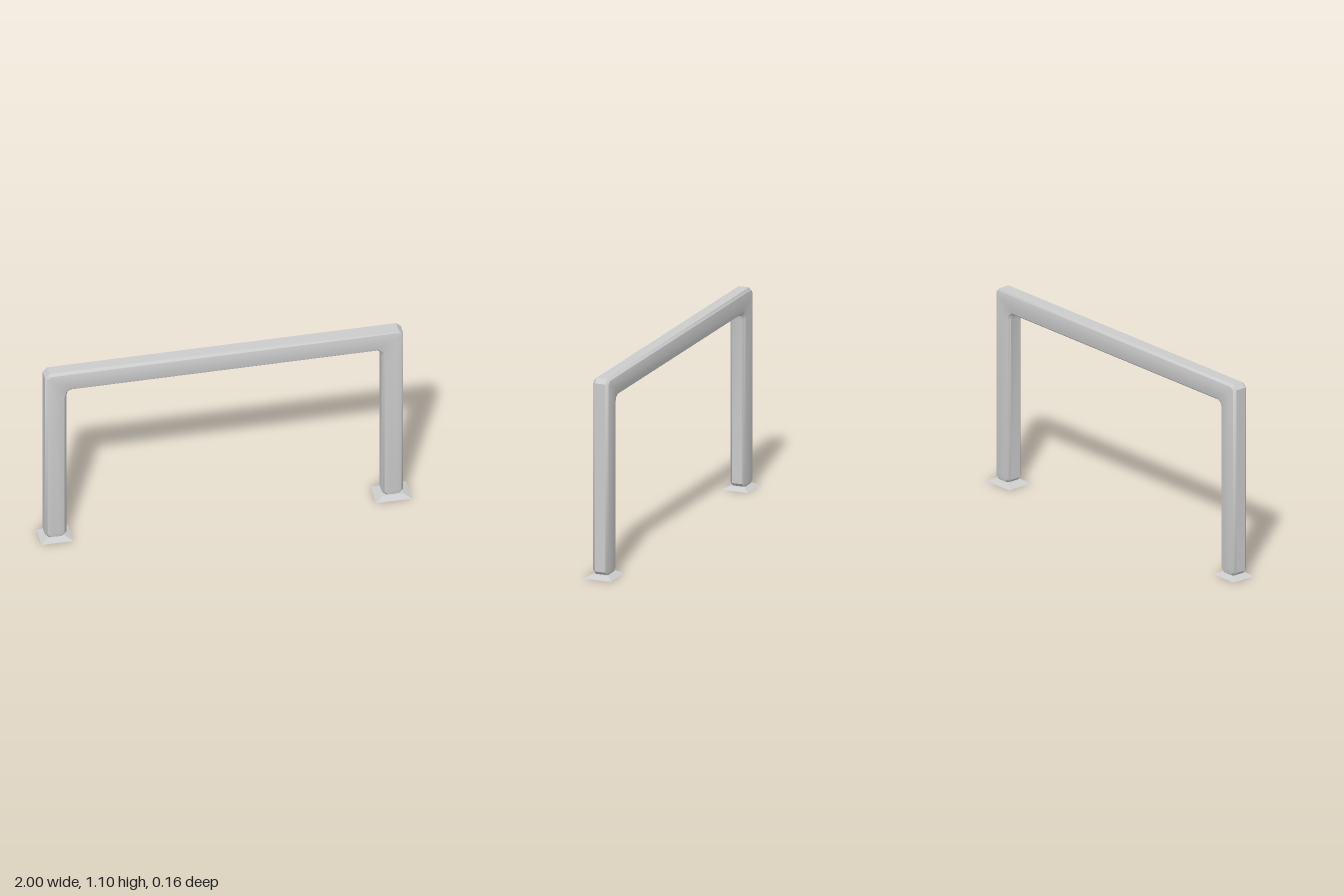
import * as THREE from 'three';
import { toCreasedNormals } from 'three/addons/utils/BufferGeometryUtils.js';

const material = new THREE.MeshStandardMaterial({ color: 0xcccccc });

// Two posts and a crossbar as one bevelled arch
function makeArch() {
  const L = -0.973, R = 0.962, w = 0.116, top = 1.095, under = 0.975, foot = 0.01;
  const c = 0.025; // corner cut
  const l = L + w, r = R - w;
  const outline = [
    // left post foot
    [l - c, foot], [l, foot + c],
    // left inner corner
    [l, under - 0.035], [l + 0.007, under - 0.012], [l + 0.025, under],
    // right inner corner
    [r - 0.025, under], [r - 0.007, under - 0.012], [r, under - 0.035],
    // right post foot
    [r, foot + c], [r + c, foot], [R - c, foot], [R, foot + c],
    // top corners
    [R, top - c], [R - c, top], [L + c, top], [L, top - c],
    // back to the left foot
    [L, foot + c], [L + c, foot],
  ];
  const shape = new THREE.Shape(outline.map(([x, y]) => new THREE.Vector2(x, y)));
  const geometry = new THREE.ExtrudeGeometry(shape, {
    depth: 0.06, bevelEnabled: true, bevelThickness: 0.02,
    bevelSize: 0.04, bevelOffset: -0.04, bevelSegments: 2,
  });
  geometry.translate(0, 0, -0.03);
  const arch = new THREE.Mesh(toCreasedNormals(geometry, 0.6), material);
  arch.name = 'archFrame';
  return arch;
}

// Low square plate with sloping sides
function makeFoot(name, x0, x1, halfDepth) {
  const h = 0.017;
  const geometry = new THREE.CylinderGeometry(0.58 * Math.SQRT1_2, Math.SQRT1_2, h, 4)
    .rotateY(Math.PI / 4)
    .scale(x1 - x0, 1, 2 * halfDepth)
    .translate((x0 + x1) / 2, h / 2, 0);
  const foot = new THREE.Mesh(toCreasedNormals(geometry, 0.1), material);
  foot.name = name;
  return foot;
}

export function createModel() {
  const group = new THREE.Group();
  group.name = 'archBarrier';
  group.add(
    makeArch(),
    makeFoot('rightFootPlate', -1, -0.828, 0.074),
    makeFoot('leftFootPlate', 0.806, 1, 0.079),
  );
  return group;
}
